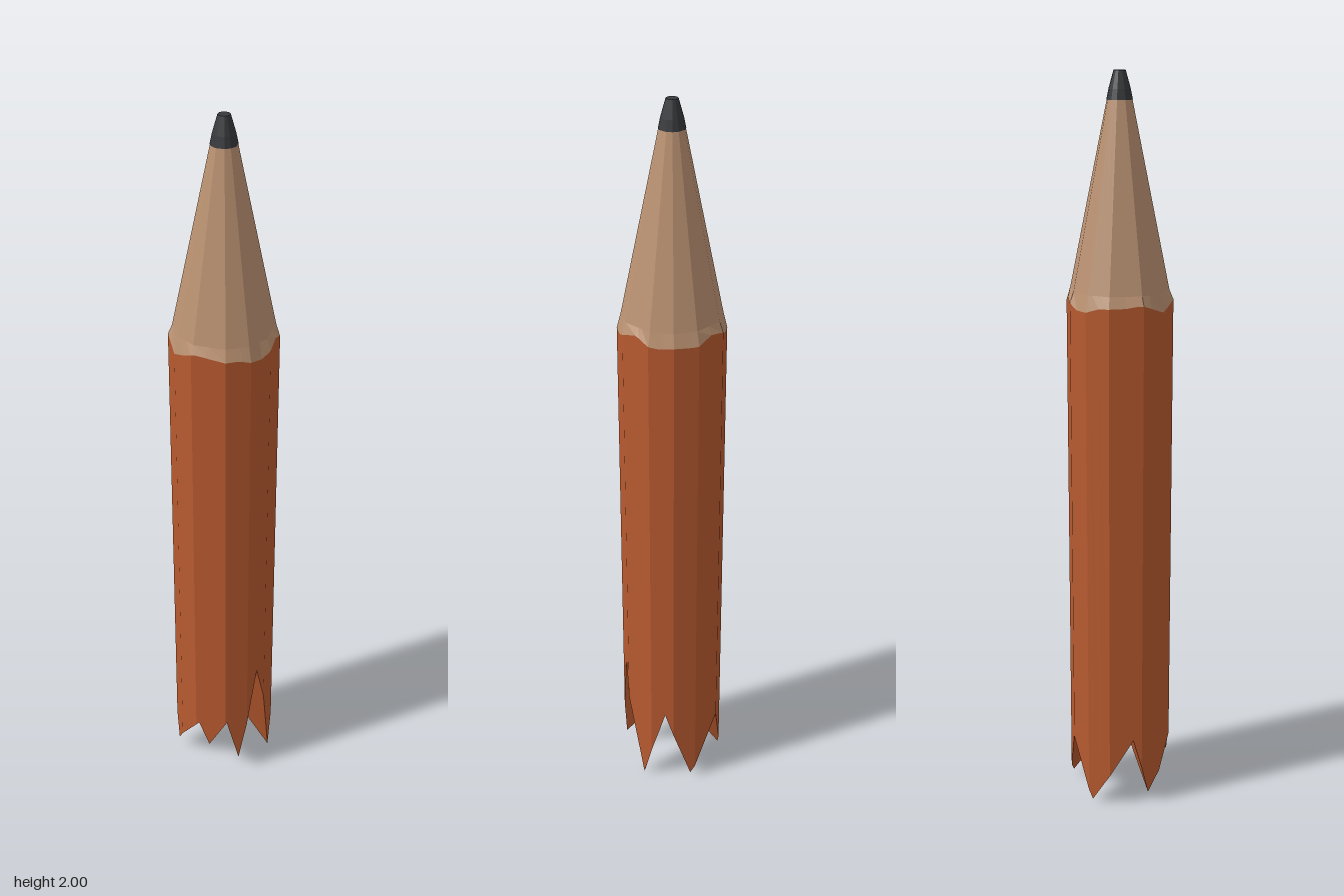
import * as THREE from 'three';

const RAD = Math.PI / 180;
const painted = new THREE.MeshStandardMaterial({ color: 0xb85a2f });
painted.name = 'orange paint';
const timber = new THREE.MeshStandardMaterial({ color: 0xbb9272 });
timber.name = 'bare wood';
const graphite = new THREE.MeshStandardMaterial({ color: 0x36383b });
graphite.name = 'dark graphite';

// Twelve-sided cross-section: corners of the shaft as [x, z]
const corners = [];
for (const [sx, sz] of [[1, 1], [-1, 1], [-1, -1], [1, -1]]) {
  const quarter = [[0.135, 0.045], [0.1, 0.1], [0.045, 0.135]];
  if (sx * sz < 0) quarter.reverse();
  for (const [x, z] of quarter) corners.push([x * sx, z * sz]);
}
const angleOf = ([x, z]) => (Math.atan2(z, x) / RAD + 360) % 360;
const cornerAngles = corners.map(angleOf);

// Point on the outline at an angle in degrees (0 = +x, 90 = +z)
function outline(deg) {
  const dx = Math.cos(deg * RAD), dz = Math.sin(deg * RAD);
  let i = cornerAngles.findIndex((a) => a > deg + 1e-6);
  if (i < 0) i = 0;
  const [ax, az] = corners[(i + 11) % 12], [bx, bz] = corners[i];
  const ex = bx - ax, ez = bz - az;
  const r = (ax * ez - az * ex) / (dx * ez - dz * ex);
  return [dx * r, dz * r];
}

// Broken end: [angle, height] of each splinter tip and notch
const splinters = [
  [30, 0.37], [55, 0.05], [70, 0.2], [92, 0.1], [105, 0.18], [152, 0.03],
  [171, 0.2], [220, 0.01], [252, 0.18], [294, 0.015], [325, 0.24], [354, 0],
];
function brokenHeight(deg) {
  let i = splinters.findIndex(([a]) => a >= deg);
  if (i < 0) i = 0;
  const [a1, y1] = splinters[i], [a0, y0] = splinters[(i + 11) % 12];
  const t = ((deg - a0 + 360) % 360) / ((a1 - a0 + 360) % 360);
  return y0 + (y1 - y0) * t;
}

// Uneven edge where the sharpener cut through the paint
const paintEdge = (deg) =>
  1.417 + 0.009 * Math.cos(4 * deg * RAD) + 0.006 * Math.sin(7 * deg * RAD + 1);

// All angles used: corners, side middles and splinter points
const angles = [...cornerAngles, ...Array.from({ length: 12 }, (_, i) => i * 30),
  ...splinters.map(([a]) => a)]
  .sort((a, b) => a - b)
  .filter((a, i, all) => i === 0 || a - all[i - 1] > 0.01);

const ring = (scale, height) => angles.map((a) => {
  const [x, z] = outline(a);
  return [x * scale, typeof height === 'function' ? height(a) : height, z * scale];
});

// Faceted skin through rings from bottom to top, with optional end fans
function skin(name, material, rings, { bottom, top } = {}) {
  const p = [];
  const n = angles.length;
  for (let i = 0; i < n; i++) {
    const j = (i + 1) % n;
    for (let k = 0; k + 1 < rings.length; k++) {
      const lo = rings[k], hi = rings[k + 1];
      p.push(...lo[i], ...hi[i], ...hi[j], ...lo[i], ...hi[j], ...lo[j]);
    }
    const first = rings[0], last = rings[rings.length - 1];
    if (bottom !== undefined) p.push(...first[i], ...first[j], 0, bottom, 0);
    if (top !== undefined) p.push(...last[j], ...last[i], 0, top, 0);
  }
  const geometry = new THREE.BufferGeometry();
  geometry.setAttribute('position', new THREE.Float32BufferAttribute(p, 3));
  geometry.computeVertexNormals();
  const mesh = new THREE.Mesh(geometry, material);
  mesh.name = name;
  return mesh;
}

export function createModel() {
  const pencil = new THREE.Group();
  pencil.name = 'brokenPencil';
  pencil.add(
    // Painted shaft with a splintered end
    skin('shaft', painted, [ring(1, brokenHeight), ring(1, paintEdge)], { bottom: 0.22 }),
    // Sharpened wood with a narrow shoulder
    skin('sharpenedWood', timber, [ring(1, paintEdge), ring(0.925, 1.45), ring(0.23, 1.93)]),
    // Blunt lead point
    skin('leadTip', graphite, [ring(0.24, 1.928), ring(0.2, 1.955), ring(0.11, 2)],
      { bottom: 1.928, top: 2 }),
  );
  return pencil;
}
